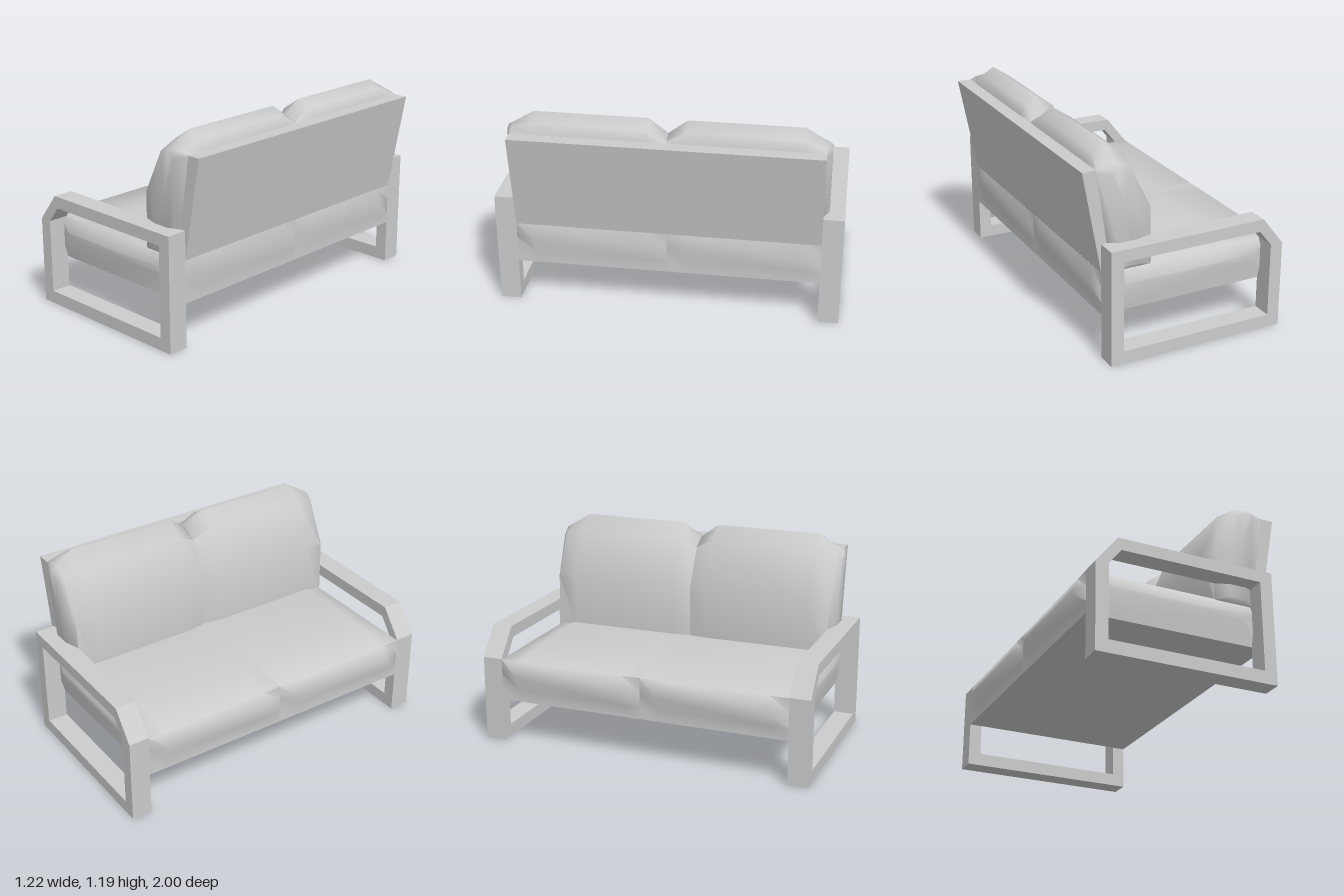
import * as THREE from 'three';
import { toCreasedNormals } from 'three/addons/utils/BufferGeometryUtils.js';

const material = new THREE.MeshStandardMaterial({ color: 0xcccccc });

function addMesh(parent, name, geometry) {
  const mesh = new THREE.Mesh(geometry, material);
  mesh.name = name;
  parent.add(mesh);
  return mesh;
}

const toPoints = (list) => list.map(([x, y]) => new THREE.Vector2(x, y));

// Extrudes an x-y outline between two z values
function prism(outline, z0, z1, hole) {
  const shape = new THREE.Shape(toPoints(outline));
  if (hole) shape.holes.push(new THREE.Path(toPoints(hole)));
  return new THREE.ExtrudeGeometry(shape, { depth: z1 - z0, bevelEnabled: false }).translate(0, 0, z0);
}

// Skins counter-clockwise x-y sections stacked along rising z, closing both ends
function loft(sections, crease) {
  const positions = [];
  const index = [];
  const n = sections[0].points.length;
  for (const { z, points } of sections) for (const [x, y] of points) positions.push(x, y, z);
  for (let k = 0; k < sections.length - 1; k++) {
    for (let i = 0; i < n; i++) {
      const j = (i + 1) % n;
      const a = k * n + i, b = k * n + j;
      index.push(a, b, b + n, a, b + n, a + n);
    }
  }
  for (const k of [0, sections.length - 1]) {
    const center = positions.length / 3;
    const { z, points } = sections[k];
    const sum = points.reduce((s, p) => [s[0] + p[0] / n, s[1] + p[1] / n], [0, 0]);
    positions.push(sum[0], sum[1], z);
    for (let i = 0; i < n; i++) {
      const a = k * n + i, b = k * n + (i + 1) % n;
      if (k === 0) index.push(center, b, a);
      else index.push(center, a, b);
    }
  }
  const geometry = new THREE.BufferGeometry();
  geometry.setAttribute('position', new THREE.Float32BufferAttribute(positions, 3));
  geometry.setIndex(index);
  return toCreasedNormals(geometry, crease);
}

// Makes the cushion on one side; sections run outward from the middle seam
function cushion(sections, side, crease) {
  const placed = sections.map(([z, points]) => ({ z: z * side, points }));
  return loft(side > 0 ? placed : placed.reverse(), crease);
}

export function createModel() {
  const sofa = new THREE.Group();
  sofa.name = 'sofa';

  // Arm frames: closed loops with a chamfered front corner
  const armOuter = [[-0.57, 0], [0.5, 0], [0.5, 0.675], [-0.44, 0.675], [-0.57, 0.51]];
  const armHole = [[-0.495, 0.075], [-0.495, 0.51], [-0.42, 0.605], [0.425, 0.605], [0.425, 0.075]];
  addMesh(sofa, 'leftArmFrame', prism(armOuter, 0.88, 1, armHole));
  addMesh(sofa, 'rightArmFrame', prism(armOuter, -1, -0.88, armHole));

  // Slanted back panel
  const panel = [[0.38, 0.4], [0.48, 0.4], [0.5, 0.51], [0.608, 1.095], [0.525, 1.095], [0.42, 0.5]];
  addMesh(sofa, 'backPanel', prism(panel, -0.88, 0.88));

  // Seat section: bulge pushes front and back out, crown lifts the top
  const seat = (bulge, crown) => [
    [-0.57, 0.26], [0.5, 0.26], [0.5, 0.33], [0.5 + bulge * 0.022, 0.42], [0.5, 0.508],
    [0.2, 0.508 + crown * 0.023], [-0.03, 0.508 + crown * 0.038], [-0.27, 0.508 + crown * 0.027],
    [-0.57, 0.508], [-0.57 - bulge * 0.04, 0.42], [-0.57, 0.33],
  ];
  // Narrow ridge that rounds the outer side of the seat
  const seatSide = seat(0, 0).map(([x, y]) => [-0.035 + (x + 0.035) * 0.74, 0.42 + (y - 0.42) * 0.15]);
  const seatSections = [
    [0, seat(0, 0.85)], [0.11, seat(1, 1)], [0.77, seat(1, 1)], [0.88, seat(0, 0)], [0.915, seatSide],
  ];

  // Back cushion sections: full body, seam, outer edge and rounded side
  const backFull = [[0.2, 0.5], [0.44, 0.5], [0.53, 1.09], [0.49, 1.15], [0.417, 1.192], [0.31, 1.118], [0.19, 0.83]];
  const backSeam = [[0.225, 0.5], [0.44, 0.5], [0.53, 1.06], [0.49, 1.09], [0.417, 1.108], [0.335, 1.06], [0.225, 0.83]];
  const backEdge = [[0.2, 0.5], [0.44, 0.5], [0.53, 1.09], [0.49, 1.11], [0.417, 1.12], [0.325, 1.08], [0.205, 0.83]];
  const backSide = [[0.29, 0.53], [0.38, 0.53], [0.45, 1.06], [0.44, 1.09], [0.41, 1.1], [0.36, 1.06], [0.3, 0.83]];
  const backSections = [
    [0, backSeam], [0.11, backFull], [0.76, backFull], [0.88, backEdge], [0.91, backSide],
  ];

  for (const [name, side] of [['left', 1], ['right', -1]]) {
    addMesh(sofa, name + 'SeatCushion', cushion(seatSections, side, 1.15));
    addMesh(sofa, name + 'BackCushion', cushion(backSections, side, 1.15));
  }
  return sofa;
}
